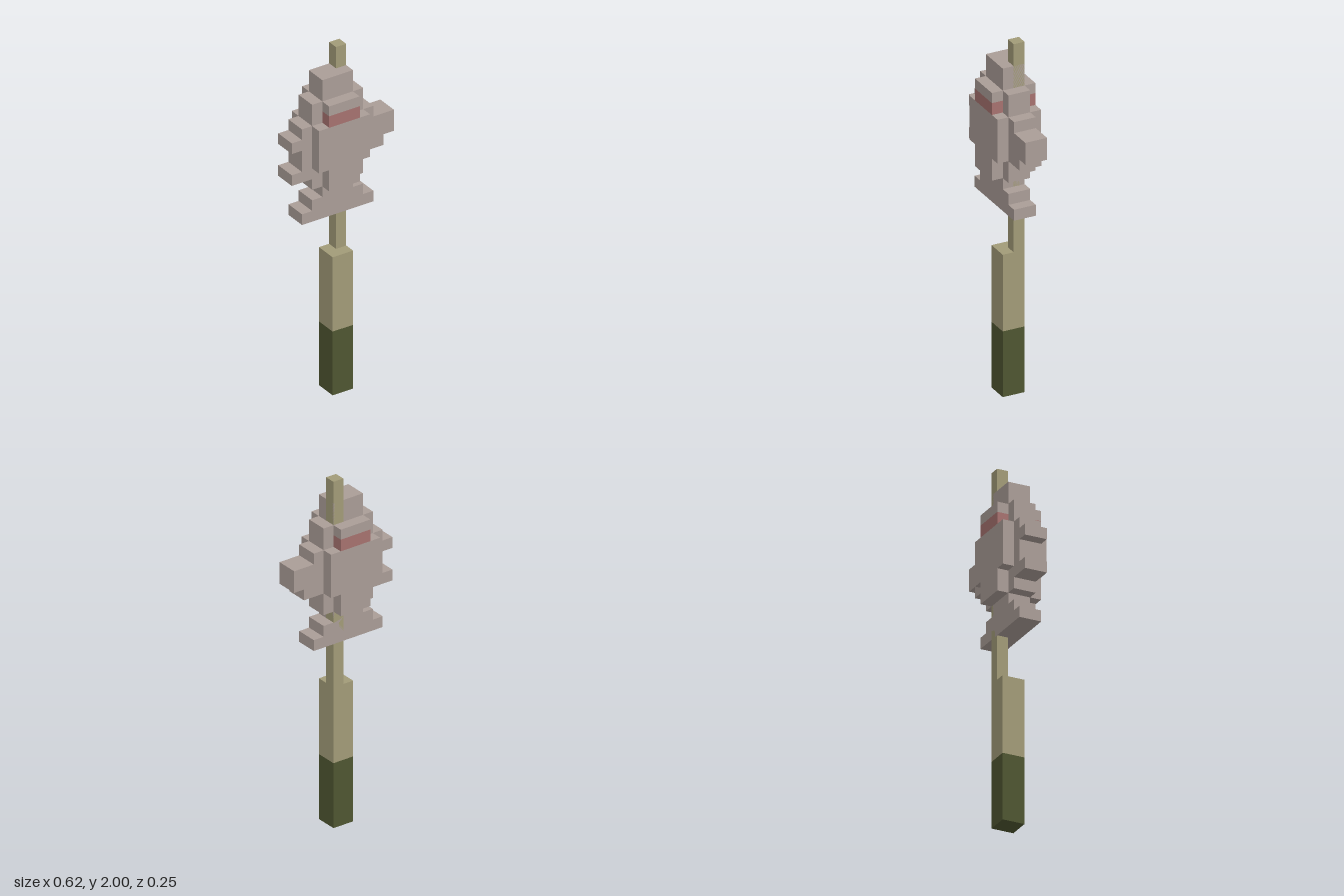
import * as THREE from 'three';

const U = 1 / 16; // one block unit

const mat = (name, color) => {
  const m = new THREE.MeshStandardMaterial({ color });
  m.name = name;
  return m;
};

export function createModel() {
  const model = new THREE.Group();
  model.name = 'blockStaff';
  const stone = mat('stone', 0xaa9d97);
  const red = mat('dullRed', 0xa6726f);
  const wood = mat('paleWood', 0xa29b78);
  const grip = mat('darkGrip', 0x4f5631);

  const add = (name, geometry, material) => {
    const mesh = new THREE.Mesh(geometry, material);
    mesh.name = name;
    model.add(mesh);
  };
  // Box between two corners, in block units
  const box = (name, material, [x0, y0, z0], [x1, y1, z1]) => {
    const g = new THREE.BoxGeometry((x1 - x0) * U, (y1 - y0) * U, (z1 - z0) * U);
    g.translate((x0 + x1) / 2 * U, (y0 + y1) / 2 * U, (z0 + z1) / 2 * U);
    add(name, g, material);
  };
  // Stepped outline extruded from z0 to z1, in block units
  const slab = (name, material, points, z0, z1) => {
    const shape = new THREE.Shape(points.map(([x, y]) => new THREE.Vector2(x * U, y * U)));
    const g = new THREE.ExtrudeGeometry(shape, { depth: (z1 - z0) * U, bevelEnabled: false });
    g.translate(0, 0, z0 * U);
    add(name, g, material);
  };

  // Handle and thin off-centre rod
  box('handleGrip', grip, [-1, 0, -1], [1, 6, 1]);
  box('handleShaft', wood, [-1, 6, -1], [1, 13, 1]);
  box('rod', wood, [0, 13, -1], [1, 32, 0]);

  // Central layer of the head: foot, body, side prongs and crown
  slab('headCore', stone, [
    [-4, 17], [3, 17], [3, 18], [2, 18], [2, 19], [1, 19], [1, 20], [2, 20],
    [2, 22], [4, 22], [4, 23], [5, 23], [5, 25], [3, 25], [3, 26], [2, 26],
    [2, 28], [1, 28], [1, 30], [-2, 30], [-2, 28], [-3, 28], [-3, 26], [-4, 26],
    [-4, 25], [-5, 25], [-5, 24], [-4, 24], [-4, 22], [-5, 22], [-5, 21], [-3, 21],
    [-3, 20], [-2, 20], [-2, 19], [-3, 19], [-3, 18], [-4, 18],
  ], -1, 1);

  // Raised plates with a red band, front and back
  for (const [side, z0, z1] of [['front', 1, 2], ['back', -2, -1]]) {
    slab(side + 'Plate', stone, [
      [-2, 20], [1, 20], [1, 22], [2, 22], [2, 26], [-3, 26], [-3, 22], [-2, 22],
    ], z0, z1);
    box(side + 'Band', red, [-2, 26, z0], [1, 27.08, z1]);
    box(side + 'Brow', stone, [-2, 27.08, z0], [1, 28, z1]);
  }
  return model;
}
